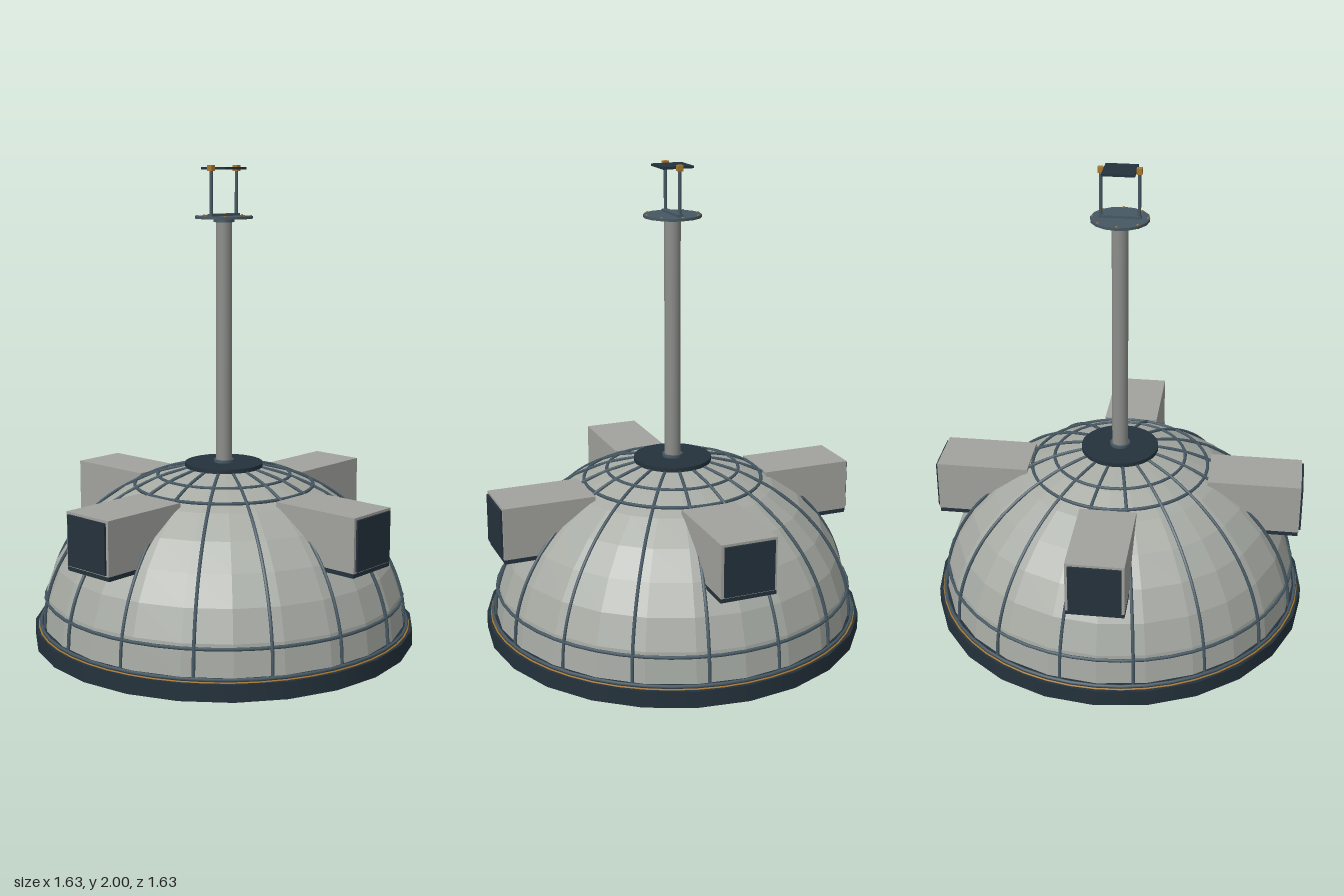
import * as THREE from 'three';

const mat = (color, flatShading = false) => new THREE.MeshStandardMaterial({ color, flatShading });
const shell = mat(0xa6aaa3, true);
const panel = mat(0xa2a29e);
const pole = mat(0x8c8e8a);
const dark = mat(0x24323c);
const slate = mat(0x465863);
const gold = mat(0xa8782f);

const DOME_R = 0.775, DOME_H = 0.67, DOME_Y = 0.08;

// Radius and height on the elliptical dome at an elevation angle
const domePoint = (t, lift = 0) =>
  new THREE.Vector2((DOME_R + lift) * Math.cos(t), DOME_Y + (DOME_H + lift) * Math.sin(t));

function add(parent, name, geometry, material, x = 0, y = 0, z = 0) {
  const mesh = new THREE.Mesh(geometry, material);
  mesh.name = name;
  mesh.position.set(x, y, z);
  parent.add(mesh);
  return mesh;
}

// Upright cylinder given by its bottom and top heights
const disc = (parent, name, r, y0, y1, material, sides = 24, x = 0, z = 0) =>
  add(parent, name, new THREE.CylinderGeometry(r, r, y1 - y0, sides), material, x, (y0 + y1) / 2, z);

function hoop(parent, name, r, y, tube, material) {
  const mesh = add(parent, name, new THREE.TorusGeometry(r, tube, 6, 48), material, 0, y, 0);
  mesh.rotation.x = Math.PI / 2;
}

// Box dormer reaching out from the dome along +z
function createDormer() {
  const g = new THREE.Group();
  g.name = 'dormer';
  add(g, 'dormerBody', new THREE.BoxGeometry(0.236, 0.222, 0.395), panel, 0, 0.554, 0.587);
  add(g, 'dormerSill', new THREE.BoxGeometry(0.236, 0.018, 0.39), dark, 0, 0.434, 0.587);
  add(g, 'dormerWindow', new THREE.BoxGeometry(0.212, 0.206, 0.012), dark, 0, 0.552, 0.787);
  return g;
}

// Mast-top platform with a tilting plate between two posts
function createInstrument() {
  const g = new THREE.Group();
  g.name = 'instrument';
  disc(g, 'platform', 0.12, 1.782, 1.793, slate, 16);
  for (let i = 0; i < 8; i++) {
    const a = i * Math.PI / 4;
    disc(g, 'platformBolt', 0.005, 1.79, 1.797, gold, 8, 0.112 * Math.cos(a), 0.112 * Math.sin(a));
  }
  add(g, 'postFoot', new THREE.BoxGeometry(0.17, 0.012, 0.025), slate, 0, 1.797, 0);
  for (const side of [-1, 1]) {
    disc(g, 'post', 0.007, 1.79, 1.985, slate, 10, side * 0.077);
    add(g, 'pivot', new THREE.BoxGeometry(0.022, 0.024, 0.024), gold, side * 0.077, 1.988, 0);
  }
  add(g, 'plate', new THREE.BoxGeometry(0.132, 0.01, 0.132), dark, 0, 1.988, 0);
  return g;
}

export function createModel() {
  const model = new THREE.Group();
  model.name = 'domeStation';

  // Base slab and trim
  disc(model, 'base', 0.813, 0, 0.07, dark, 24);
  disc(model, 'baseStep', 0.785, 0.07, 0.082, dark, 24);
  hoop(model, 'baseTrim', 0.787, 0.08, 0.007, slate);
  hoop(model, 'baseAccent', 0.794, 0.07, 0.004, gold);

  // Faceted dome, profile from the rim up to the crown
  const profile = [];
  for (let i = 0; i <= 8; i++) profile.push(domePoint(i / 8 * Math.PI / 2));
  profile[8].x = 0;
  add(model, 'dome', new THREE.LatheGeometry(profile, 24), shell);

  // Meridian ribs
  const ribPoints = [];
  for (let i = 0; i <= 10; i++) {
    const p = domePoint(i / 10 * 1.38, 0.001);
    ribPoints.push(new THREE.Vector3(0, p.y, p.x));
  }
  const ribGeometry = new THREE.TubeGeometry(new THREE.CatmullRomCurve3(ribPoints), 28, 0.007, 6);
  for (let i = 0; i < 16; i++) {
    add(model, 'rib', ribGeometry, slate).rotation.y = (i + 0.5) * Math.PI / 8;
  }

  // Latitude rings
  for (const r of [0.764, 0.38, 0.282]) {
    const p = domePoint(Math.acos(r / DOME_R));
    hoop(model, 'domeRing', r, p.y, 0.007, slate);
  }

  // Four dormers
  for (let i = 0; i < 4; i++) {
    const dormer = createDormer();
    dormer.rotation.y = i * Math.PI / 2;
    model.add(dormer);
  }

  // Crown plate and mast
  disc(model, 'crownPlate', 0.165, 0.738, 0.756, dark, 32);
  disc(model, 'mastCollar', 0.043, 0.75, 0.768, slate, 20);
  disc(model, 'mast', 0.034, 0.75, 1.78, pole, 20);
  disc(model, 'mastCap', 0.043, 1.768, 1.784, slate, 20);
  model.add(createInstrument());

  return model;
}
